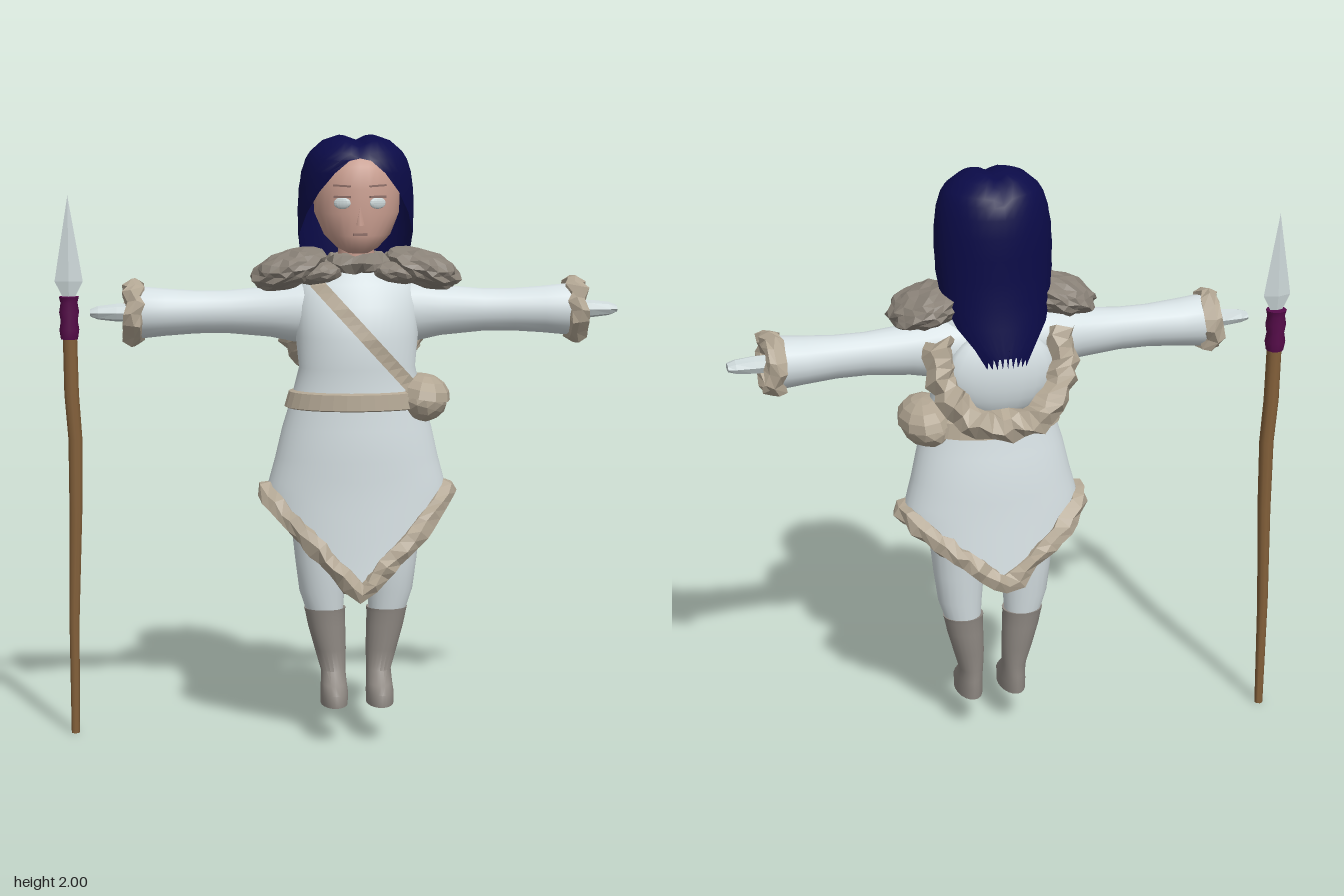
import * as THREE from 'three';
import { toCreasedNormals } from 'three/addons/utils/BufferGeometryUtils.js';

const mat = (name, color, extra = {}) => {
  const m = new THREE.MeshStandardMaterial({ color, side: THREE.DoubleSide, ...extra });
  m.name = name;
  return m;
};
const M = {
  cloth: mat('white cloth', 0xd5dfe2),
  fur: mat('beige fur', 0xb3a794, { flatShading: true }),
  darkFur: mat('grey fur', 0x8a8278, { flatShading: true }),
  boot: mat('boot leather', 0x8f8983),
  hair: mat('navy hair', 0x0b0b48),
  skin: mat('skin', 0xc79c8e),
  feature: mat('facial features', 0x8f6f68),
  wood: mat('wood', 0x83603a),
  wrap: mat('purple wrap', 0x560c4a),
  metal: mat('pale metal', 0xcbd6d7, { flatShading: true }),
};

function add(parent, name, geo, material, pos = [0, 0, 0], rot = [0, 0, 0], scl = [1, 1, 1]) {
  const m = new THREE.Mesh(geo, material);
  m.name = name;
  m.position.set(...pos);
  m.rotation.set(...rot);
  m.scale.set(...scl);
  parent.add(m);
  return m;
}

// Skin of rows (bottom to top) by columns; point(row, column) gives [x, y, z]
function grid(rows, cols, closed, point, caps = false) {
  const pos = [], idx = [], w = closed ? cols : cols + 1;
  for (let r = 0; r < rows; r++) for (let c = 0; c < w; c++) pos.push(...point(r, c));
  for (let r = 0; r < rows - 1; r++) for (let c = 0; c < cols; c++) {
    const d = (c + 1) % w, a = r * w, b = a + w;
    idx.push(a + c, a + d, b + d, a + c, b + d, b + c);
  }
  if (caps) for (const r of [0, rows - 1]) {
    const k = pos.length / 3, mid = [0, 0, 0];
    for (let c = 0; c < w; c++) for (let i = 0; i < 3; i++) mid[i] += pos[(r * w + c) * 3 + i] / w;
    pos.push(...mid);
    for (let c = 0; c < cols; c++) {
      const p = r * w + c, q = r * w + (c + 1) % w;
      if (r) idx.push(p, q, k); else idx.push(q, p, k);
    }
  }
  const g = new THREE.BufferGeometry();
  g.setAttribute('position', new THREE.Float32BufferAttribute(pos, 3));
  g.setIndex(idx);
  return toCreasedNormals(g, 1.0);
}

// Oval section [y, halfWidth, zFront, zBack, xCentre] at angle a, where 0 faces the front
const oval = ([y, w, f, b, cx = 0], a) => [cx + w * Math.sin(a), y, (f + b) / 2 + (f - b) / 2 * Math.cos(a)];
const loft = (s, n = 20, caps = true) => grid(s.length, n, true, (r, c) => oval(s[r], c / n * Math.PI * 2), caps);

// Section of a profile at any height
function sectionAt(profile, y) {
  let i = 0;
  while (i < profile.length - 2 && profile[i + 1][0] < y) i++;
  const p = profile[i], q = profile[i + 1], t = (y - p[0]) / (q[0] - p[0]);
  return p.map((v, k) => v + (q[k] - v) * t);
}

// Lumpy fur: push vertices by waves of their own position
function rough(g, amp) {
  const p = g.attributes.position;
  for (let i = 0; i < p.count; i++) {
    const x = p.getX(i), y = p.getY(i), z = p.getZ(i);
    p.setXYZ(i, x + amp * Math.sin(61 * y + 47 * z), y + amp * Math.sin(53 * x + 71 * z), z + amp * Math.sin(67 * x + 43 * y));
  }
  g.computeVertexNormals();
  return g;
}
const furTube = (pts, r, n, closed, amp = 0.009) => rough(new THREE.TubeGeometry(
  new THREE.CatmullRomCurve3(pts.map(p => new THREE.Vector3(...p)), closed), n, r, 6, closed), amp);

const BODY = [
  [0.45, 0.34, 0.225, -0.18], [0.6, 0.325, 0.212, -0.155], [0.85, 0.295, 0.2, -0.125], [0.95, 0.268, 0.2, -0.115],
  [1.05, 0.245, 0.198, -0.1], [1.16, 0.212, 0.186, -0.075], [1.25, 0.19, 0.188, -0.07], [1.35, 0.2, 0.192, -0.09],
  [1.45, 0.2, 0.168, -0.1], [1.52, 0.18, 0.125, -0.09], [1.57, 0.09, 0.08, -0.06]];
const hem = a => (Math.cos(a) > 0 ? 0.53 + 0.31 * Math.abs(Math.sin(a)) : 0.62 + 0.22 * Math.abs(Math.sin(a)));

function buildDress(fig) {
  const n = 40, low = 6, upper = BODY.slice(3);
  add(fig, 'dress', grid(low + upper.length, n, true, (r, c) => {
    const a = c / n * Math.PI * 2;
    if (r >= low) return oval(upper[r - low], a);
    return oval(sectionAt(BODY, hem(a) + (0.95 - hem(a)) * r / low), a);
  }), M.cloth);
  const trim = [];
  for (let i = 0; i < 24; i++) {
    const a = i / 24 * Math.PI * 2;
    trim.push(oval(sectionAt(BODY, hem(a)), a));
  }
  add(fig, 'hemFur', furTube(trim, 0.034, 48, true, 0.007), M.fur);

  // Belt, pouch and chest strap
  const grown = (y, d) => { const [h, w, f, b] = sectionAt(BODY, y); return [h, w + d, f + d, b - d]; };
  add(fig, 'belt', loft([grown(1.115, 0), grown(1.12, 0.014), grown(1.17, 0.014), grown(1.175, 0)], 32, false), M.fur);
  add(fig, 'pouch', rough(new THREE.IcosahedronGeometry(1, 2), 0.02), M.fur, [0.212, 1.14, 0.065], [0, 0, 0.15], [0.085, 0.075, 0.13]);
  add(fig, 'pouchFlap', new THREE.SphereGeometry(1, 10, 4, 0, Math.PI * 2, 0, Math.PI / 2), M.fur, [0.214, 1.15, 0.065], [0, 0, -0.15], [0.092, 0.075, 0.138]);
  for (const side of [1, -1]) {
    add(fig, side > 0 ? 'strapFront' : 'strapBack', grid(2, 14, false, (r, c) => {
      const t = c / 14, k = r ? 0.022 : -0.022;
      const x = -0.14 + 0.31 * t + k * 0.7, y = 1.53 - 0.34 * t + k * 0.7;
      const [, w, f, b] = sectionAt(BODY, y);
      const h = Math.sqrt(Math.max(0, 1 - (x / w) ** 2));
      return [x, y, (f + b) / 2 + side * ((f - b) / 2 * h + 0.009)];
    }), M.fur);
  }

  // Hood lying open on the back
  const half = [[0.2, 1.47, -0.06], [0.195, 1.34, -0.12], [0.12, 1.235, -0.175]];
  const rim = [...half, [0, 1.205, -0.185], ...half.map(([x, y, z]) => [-x, y, z]).reverse()];
  add(fig, 'hoodFur', furTube(rim, 0.05, 26, false, 0.01), M.fur);
  add(fig, 'hoodLining', new THREE.SphereGeometry(1, 20, 12), M.cloth, [0, 1.35, -0.09], [0, 0, 0], [0.18, 0.15, 0.07]);
  add(fig, 'collarFur', rough(new THREE.TorusGeometry(0.075, 0.033, 6, 18).rotateX(Math.PI / 2), 0.007), M.darkFur, [0, 1.585, 0.02]);
}

function buildSide(fig, s) {
  const g = new THREE.Group();
  g.name = s > 0 ? 'leftLimbs' : 'rightLimbs';
  g.scale.x = s;
  fig.add(g);
  // Shoulder fur
  add(g, 'shoulderFur', rough(new THREE.IcosahedronGeometry(0.13, 3), 0.009), M.darkFur, [0.215, 1.565, 0.015], [0, 0, -0.28], [1, 0.46, 1]);
  add(g, 'frontFur', rough(new THREE.IcosahedronGeometry(0.09, 2), 0.007), M.darkFur, [0.125, 1.555, 0.06], [0, 0, -0.1], [0.9, 0.42, 0.85]);
  // Sleeve with fur cuff and hand
  const arm = new THREE.Group();
  arm.name = 'arm';
  arm.position.y = 1.425;
  arm.rotation.z = -Math.PI / 2;
  g.add(arm);
  add(arm, 'sleeve', loft([[0.1, 0.1, 0.1, -0.09], [0.2, 0.1, 0.09, -0.085], [0.28, 0.083, 0.075, -0.075], [0.42, 0.07, 0.063, -0.063],
    [0.52, 0.07, 0.065, -0.065], [0.62, 0.077, 0.08, -0.08], [0.7, 0.085, 0.086, -0.086], [0.725, 0.08, 0.08, -0.08], [0.69, 0.055, 0.055, -0.055]]), M.cloth);
  add(arm, 'cuffFur', rough(new THREE.TorusGeometry(0.085, 0.025, 6, 16).rotateX(Math.PI / 2), 0.007), M.fur, [0, 0.725, 0], [0, 0, 0], [1, 1.3, 1]);
  add(arm, 'hand', loft([[0.66, 0.03, 0.032, -0.032], [0.78, 0.029, 0.033, -0.033], [0.84, 0.022, 0.03, -0.03], [0.865, 0.012, 0.025, -0.025]], 8), M.metal);
  // Leg and boot
  add(g, 'leg', loft([[0.4, 0.055, 0.07, -0.03, 0.1], [0.5, 0.075, 0.09, -0.042, 0.113], [0.6, 0.086, 0.105, -0.05, 0.115],
    [0.8, 0.108, 0.12, -0.07, 0.115], [0.95, 0.12, 0.13, -0.085, 0.11], [1.1, 0.09, 0.11, -0.06, 0.1]]), M.cloth);
  add(g, 'boot', loft([[0.125, 0.045, 0.155, -0.025, 0.076], [0.165, 0.046, 0.156, -0.028, 0.076], [0.192, 0.043, 0.125, -0.027, 0.076],
    [0.23, 0.041, 0.072, -0.025, 0.076], [0.3, 0.052, 0.074, -0.035, 0.085], [0.38, 0.062, 0.078, -0.04, 0.097],
    [0.425, 0.066, 0.08, -0.042, 0.102], [0.44, 0.069, 0.082, -0.044, 0.103], [0.435, 0.05, 0.065, -0.028, 0.102]]), M.boot);
  // Eye and brow
  add(g, 'eye', new THREE.SphereGeometry(1, 14, 8), M.metal, [0.057, 1.785, 0.154], [0, 0.32, 0], [0.028, 0.019, 0.008]);
  add(g, 'eyelid', new THREE.BoxGeometry(0.056, 0.007, 0.008), M.feature, [0.057, 1.805, 0.157], [0, 0.32, 0]);
  add(g, 'brow', new THREE.BoxGeometry(0.058, 0.006, 0.006), M.feature, [0.058, 1.84, 0.153], [0, 0.32, 0.05]);
}

function buildHead(fig) {
  add(fig, 'neck', new THREE.CylinderGeometry(0.055, 0.065, 0.16, 16), M.skin, [0, 1.61, 0.02]);
  add(fig, 'head', loft([[1.622, 0.035, 0.13, 0.02], [1.637, 0.065, 0.155, -0.02], [1.68, 0.108, 0.166, -0.06], [1.75, 0.138, 0.166, -0.09],
    [1.83, 0.142, 0.166, -0.1], [1.9, 0.128, 0.152, -0.1], [1.95, 0.085, 0.105, -0.07], [1.965, 0.03, 0.05, -0.02]], 28), M.skin);
  add(fig, 'nose', new THREE.ConeGeometry(0.015, 0.06, 6), M.skin, [0, 1.745, 0.166], [0.12, 0, 0]);
  add(fig, 'mouth', new THREE.BoxGeometry(0.045, 0.009, 0.008), M.feature, [0, 1.685, 0.163]);

  // Hair sections, bottom to top; the last value is the half angle of the face opening
  const H = [[1.41, 0.12, 0.0, -0.18, 148], [1.46, 0.15, 0.05, -0.176, 138], [1.52, 0.172, 0.1, -0.167, 122], [1.6, 0.183, 0.13, -0.157, 100],
    [1.68, 0.188, 0.14, -0.155, 80], [1.75, 0.19, 0.155, -0.156, 60], [1.82, 0.187, 0.168, -0.156, 43], [1.88, 0.178, 0.176, -0.15, 27],
    [1.92, 0.165, 0.172, -0.14, 12], [1.945, 0.15, 0.158, -0.128, 0], [1.98, 0.11, 0.115, -0.095, 0], [1.997, 0.06, 0.065, -0.05, 0], [2.0, 0, 0.01, 0.01, 0]];
  const n = 32;
  add(fig, 'hair', grid(H.length, n, false, (r, c) => {
    const [y, w, f, b, open] = H[r], o = open * Math.PI / 180;
    const p = oval([y, w, f, b], o + (Math.PI * 2 - 2 * o) * c / n);
    if (r === 0) p[1] += c % 4 === 0 ? -0.015 : 0.02; // ragged ends
    if (r > 8) p[1] -= 0.018 * Math.exp(-((p[0] / 0.025) ** 2)); // parting
    return p;
  }), M.hair);
}

function buildSpear(root) {
  const g = new THREE.Group();
  g.name = 'spear';
  g.position.z = -0.09;
  root.add(g);
  const ring = (y, r, x) => [y, r, r, -r, x];
  add(g, 'spearShaft', loft([ring(0, 0.014, -0.88), ring(0.4, 0.018, -0.878), ring(0.75, 0.022, -0.868), ring(1, 0.024, -0.866),
    ring(1.15, 0.025, -0.876), ring(1.46, 0.024, -0.88)], 10), M.wood);
  add(g, 'spearWrap', loft([1.33, 1.36, 1.39, 1.42, 1.45, 1.47].map((y, i) => ring(y, i % 2 ? 0.034 : 0.029, -0.88)), 10), M.wrap);
  add(g, 'spearHead', new THREE.LatheGeometry([[0.016, 1.46], [0.046, 1.52], [0.038, 1.57], [0, 1.8]].map(p => new THREE.Vector2(...p)), 4),
    M.metal, [-0.88, 0, 0], [0, 0, 0], [1, 1, 0.3]);
}

export function createModel() {
  const root = new THREE.Group();
  root.name = 'spearBearer';
  const fig = new THREE.Group();
  fig.name = 'figure';
  fig.position.x = 0.055;
  root.add(fig);
  buildDress(fig);
  buildSide(fig, 1);
  buildSide(fig, -1);
  buildHead(fig);
  buildSpear(root);
  return root;
}
